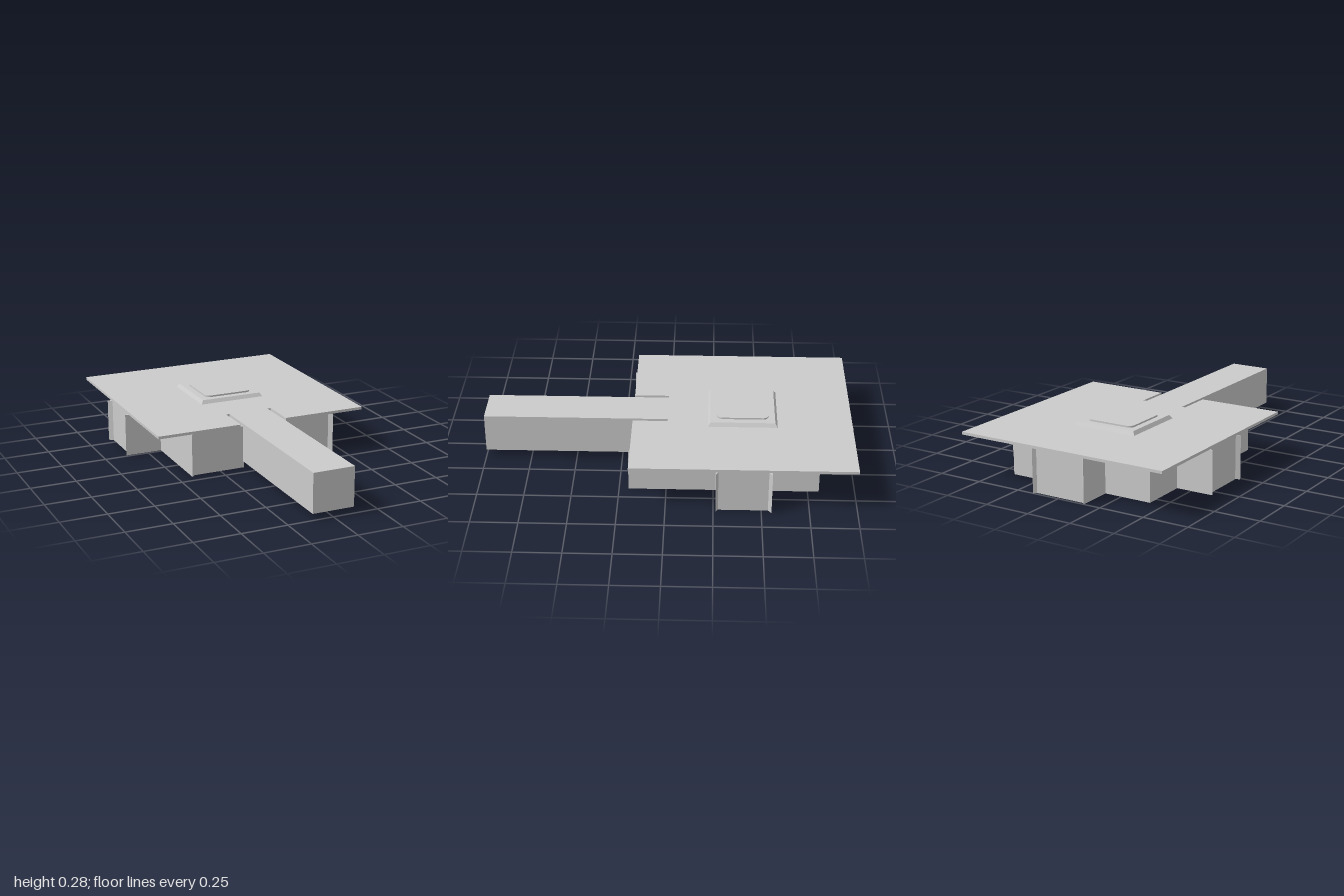
import * as THREE from 'three';

const material = new THREE.MeshStandardMaterial({ color: 0xcccccc, flatShading: true });
const CENTRE_Z = -0.405;

// Half outline [x, z] (x > 0, front to back) mirrored into a closed shape in plan
function mirroredShape(half) {
  const points = [...half, ...half.map(([x, z]) => [-x, z]).reverse()];
  return new THREE.Shape(points.map(([x, z]) => new THREE.Vector2(x, -z)));
}

// Slab with the given plan, standing between two heights
function slab(name, shape, y0, y1) {
  const geometry = new THREE.ExtrudeGeometry(shape, { depth: y1 - y0, bevelEnabled: false, curveSegments: 5 });
  geometry.rotateX(-Math.PI / 2);
  geometry.translate(0, y0, 0);
  const mesh = new THREE.Mesh(geometry, material);
  mesh.name = name;
  return mesh;
}

function roundedSquare(r, c) {
  const s = new THREE.Shape();
  const cy = -CENTRE_Z;
  const k = r - c;
  s.absarc(k, cy + k, c, 0, Math.PI / 2);
  s.absarc(-k, cy + k, c, Math.PI / 2, Math.PI);
  s.absarc(-k, cy - k, c, Math.PI, Math.PI * 1.5);
  s.absarc(k, cy - k, c, Math.PI * 1.5, Math.PI * 2);
  return s;
}

export function createModel() {
  const group = new THREE.Group();
  group.name = 'bunker';

  // Stepped walls with small pointed lips at the outer corners and a front recess
  const walls = mirroredShape([
    [0.11, 0], [0.11, 0.18], [0.40, 0.18], [0.42, 0.2],
    [0.42, -0.262], [0.625, -0.262], [0.602, -0.275],
    [0.602, -0.535], [0.625, -0.553], [0.42, -0.553],
    [0.42, -0.81], [0.155, -0.81], [0.155, -1], [0.14, -0.985],
  ]);
  group.add(slab('walls', walls, 0, 0.235));

  // Thin roof plate, slotted around the beam
  const roof = mirroredShape([[0.135, 0], [0.135, 0.19], [0.605, 0.19], [0.605, -0.995]]);
  group.add(slab('roof', roof, 0.235, 0.25));

  // Long beam running out of the front
  const beam = new THREE.Mesh(new THREE.BoxGeometry(0.23, 0.215, 1), material);
  beam.name = 'beam';
  beam.position.set(0, 0.1425, 0.5);
  group.add(beam);

  // Hatch: sloped square base and a rounded lid
  const base = new THREE.CylinderGeometry(0.174 * Math.SQRT2, 0.187 * Math.SQRT2, 0.02, 4);
  base.rotateY(Math.PI / 4);
  const hatchBase = new THREE.Mesh(base, material);
  hatchBase.name = 'hatchBase';
  hatchBase.position.set(0, 0.26, CENTRE_Z);
  group.add(hatchBase);
  group.add(slab('hatchLid', roundedSquare(0.138, 0.03), 0.268, 0.279));

  return group;
}
